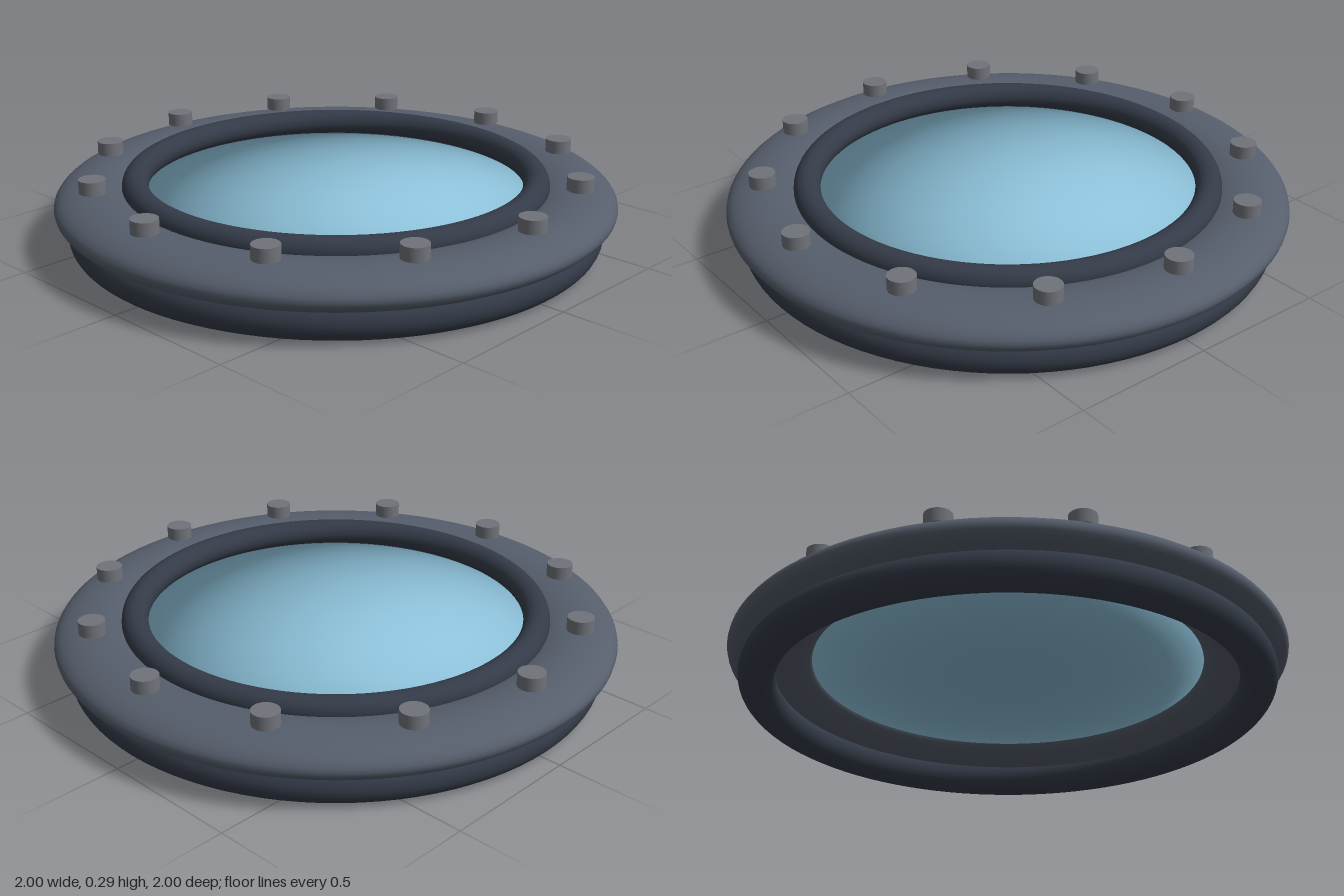
import * as THREE from 'three';

const material = (color) => new THREE.MeshStandardMaterial({ color });

// Horizontal ring with a tube that can be flattened vertically
function ring(name, radius, tube, y, color, flatten = 1) {
  const geometry = new THREE.TorusGeometry(radius, tube, 32, 96);
  geometry.rotateX(Math.PI / 2).scale(1, flatten, 1);
  const mesh = new THREE.Mesh(geometry, material(color));
  mesh.name = name;
  mesh.position.y = y;
  return mesh;
}

export function createModel() {
  const model = new THREE.Group();
  model.name = 'porthole';

  // Frame: wide flange, seat below it, raised lip around the glass
  model.add(
    ring('flange', 0.85, 0.15, 0.163, 0x565e6c, 0.45),
    ring('backRing', 0.89, 0.066, 0.066, 0x343b48),
    ring('innerLip', 0.715, 0.047, 0.218, 0x343b48),
  );

  // Glass: a sphere pressed into a thin lens, keeping its round shading
  const lens = new THREE.SphereGeometry(0.75, 64, 32);
  const points = lens.attributes.position;
  for (let i = 0; i < points.count; i++) points.setY(i, points.getY(i) * 0.04);
  const glass = new THREE.Mesh(lens, material(0x8cc0d8));
  glass.material.side = THREE.DoubleSide;
  glass.name = 'glass';
  glass.position.y = 0.16;
  model.add(glass);

  // Twelve bolts around the flange
  const bolts = new THREE.Group();
  bolts.name = 'bolts';
  const boltGeometry = new THREE.CylinderGeometry(0.047, 0.047, 0.048, 24);
  const boltMaterial = material(0x70737a);
  for (let i = 0; i < 12; i++) {
    const angle = (i / 12) * Math.PI * 2;
    const bolt = new THREE.Mesh(boltGeometry, boltMaterial);
    bolt.name = 'bolt';
    bolt.position.set(Math.cos(angle) * 0.867, 0.266, Math.sin(angle) * 0.867);
    bolts.add(bolt);
  }
  model.add(bolts);

  return model;
}
